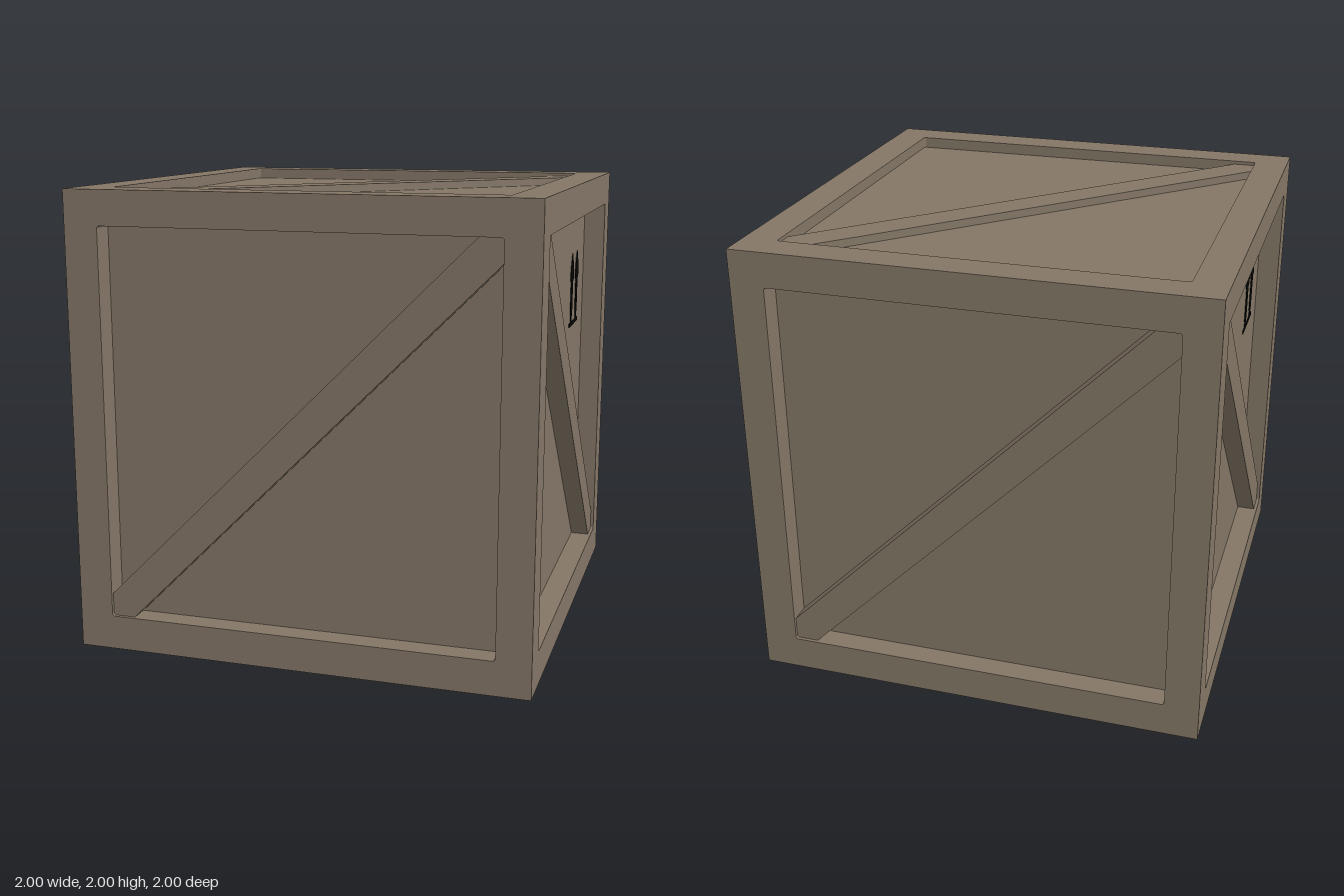
import * as THREE from 'three';

// Outer face, frame opening, side panels and the shallower top and bottom panels
const OUT = 1, IN = 0.85, SIDE = 0.9, CAP = 0.95;

const wood = new THREE.MeshStandardMaterial({ color: 0x837666 });
wood.name = 'wood';
const ink = new THREE.MeshStandardMaterial({ color: 0x060606 });
ink.name = 'black ink';

function polygon(points) {
  return new THREE.Shape(points.map(([x, y]) => new THREE.Vector2(x, y)));
}

function extrude(shape, from, to) {
  const geo = new THREE.ExtrudeGeometry(shape, { depth: to - from, bevelEnabled: false, curveSegments: 3 });
  return geo.translate(0, 0, from);
}

function mesh(name, geo, material) {
  const m = new THREE.Mesh(geo, material);
  m.name = name;
  return m;
}

// Square frame with a slightly rounded opening, mitred to meet its neighbours
function frameGeometry(back, mitreY) {
  const shape = polygon([[-OUT, -OUT], [OUT, -OUT], [OUT, OUT], [-OUT, OUT]]);
  const r = 0.012, hole = new THREE.Path();
  [[1, 1], [1, -1], [-1, -1], [-1, 1]].forEach(([sx, sy], i) => {
    hole.absarc(sx * (IN - r), sy * (IN - r), r, Math.PI / 2 * (1 - i), -Math.PI / 2 * i, true);
  });
  hole.closePath();
  shape.holes.push(hole);
  const geo = extrude(shape, back, OUT);
  const p = geo.attributes.position;
  for (let i = 0; i < p.count; i++) {
    if (Math.abs(p.getX(i)) > 0.99 && p.getZ(i) < OUT - 0.01) {
      p.setXY(i, p.getX(i) * SIDE, p.getY(i) * mitreY);
    }
  }
  geo.computeVertexNormals();
  return geo;
}

// Brace from the lower left to the upper right corner of a face, set just below the frame
function braceGeometry(back) {
  const c = 0.75;
  return extrude(polygon([[-IN, -IN], [-c, -IN], [IN, c], [IN, IN], [c, IN], [-IN, -c]]), back, OUT - 0.015);
}

// Two upright arrows standing on a short bar
function addMarking(face) {
  const half = [[0.013, 0.302], [0.014, 0.33], [0.027, 0.342], [0.027, 0.502], [0.046, 0.511],
    [0.05, 0.53], [0.031, 0.59], [0.01, 0.63], [0.003, 0.638]];
  const outline = [...half, ...half.map(([x, y]) => [-x, y]).reverse()];
  for (const x of [0.465, 0.615]) {
    const arrow = polygon(outline.map(([px, py]) => [px + x, py]));
    face.add(mesh('arrowMark', extrude(arrow, SIDE, SIDE + 0.003), ink));
  }
  const bar = polygon([[0.409, 0.286], [0.669, 0.286], [0.669, 0.305], [0.409, 0.305]]);
  face.add(mesh('arrowBar', extrude(bar, SIDE, SIDE + 0.003), ink));
}

export function createModel() {
  const model = new THREE.Group();
  model.name = 'crate';
  const q = Math.PI / 2;

  // Inner box whose sides are the recessed panels
  const panels = mesh('panels', new THREE.BoxGeometry(2 * SIDE, 2 * CAP, 2 * SIDE), wood);
  panels.position.y = 1;
  model.add(panels);

  const sideFrame = frameGeometry(SIDE, CAP), capFrame = frameGeometry(CAP, SIDE);
  const sideBrace = braceGeometry(SIDE), capBrace = braceGeometry(CAP);
  const mirroredSideBrace = sideBrace.clone().rotateZ(q);
  const mirroredCapBrace = capBrace.clone().rotateZ(q);

  // name, rotation about x, rotation about y, frame, brace, arrows
  const faces = [
    ['frontSide', 0, 0, sideFrame, sideBrace, false],
    ['backSide', 0, 2 * q, sideFrame, sideBrace, false],
    ['leftSide', 0, q, sideFrame, mirroredSideBrace, true],
    ['rightSide', 0, -q, sideFrame, mirroredSideBrace, true],
    ['topSide', -q, 0, capFrame, capBrace, false],
    ['bottomSide', q, 0, capFrame, mirroredCapBrace, false],
  ];
  for (const [name, rx, ry, frame, brace, marked] of faces) {
    const face = new THREE.Group();
    face.name = name;
    face.add(mesh('frame', frame, wood), mesh('brace', brace, wood));
    if (marked) addMarking(face);
    face.rotation.set(rx, ry, 0);
    face.position.y = 1;
    model.add(face);
  }
  return model;
}
